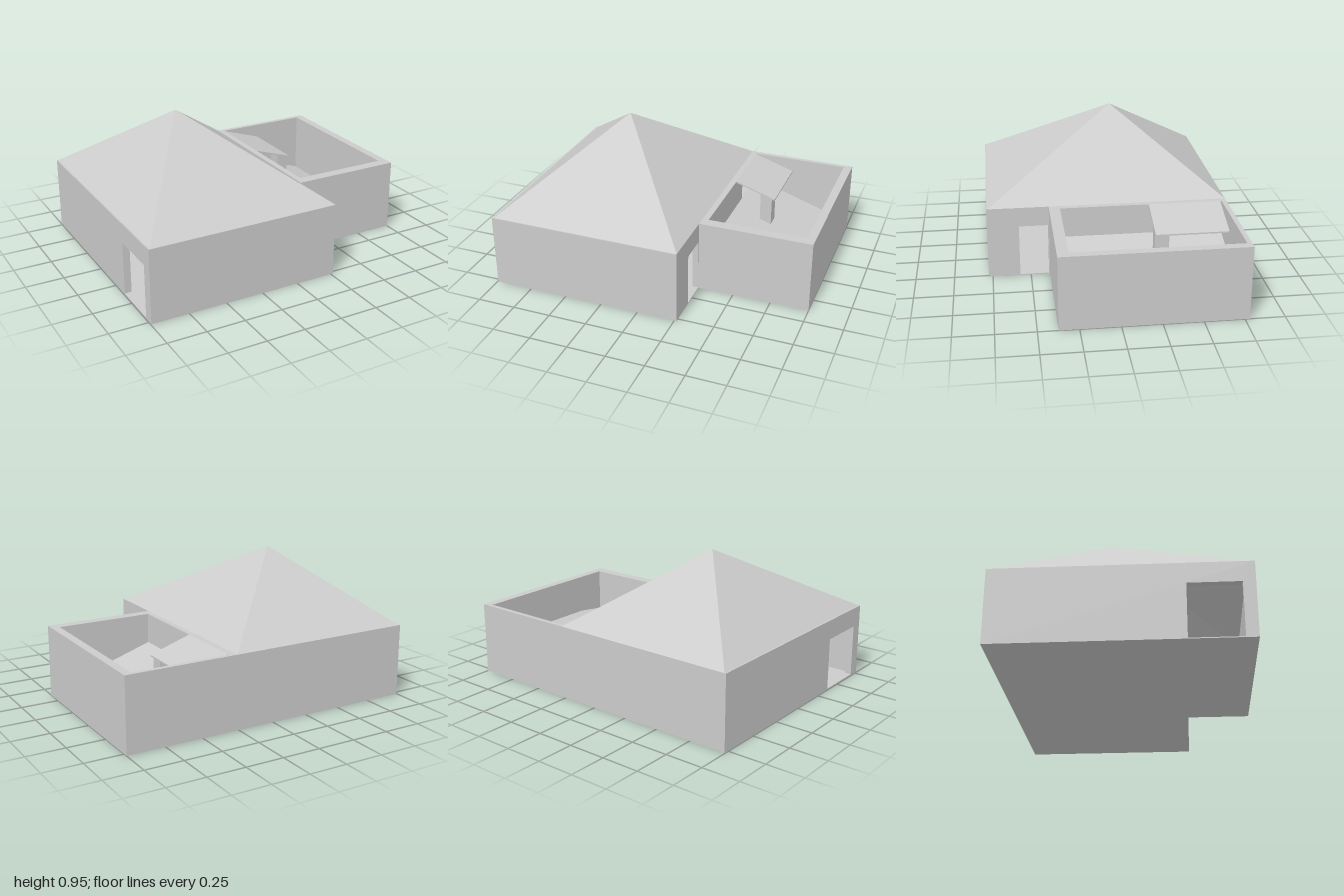
import * as THREE from 'three';

const H = 0.48; // wall height
const mat = new THREE.MeshStandardMaterial({ color: 0xcccccc, flatShading: true, side: THREE.DoubleSide });

export function createModel() {
  const model = new THREE.Group();

  function add(name, geometry) {
    const mesh = new THREE.Mesh(geometry, mat);
    mesh.name = name;
    model.add(mesh);
  }

  // Box given by its minimum and maximum corners
  function box(name, [x0, y0, z0], [x1, y1, z1]) {
    const g = new THREE.BoxGeometry(x1 - x0, y1 - y0, z1 - z0);
    g.translate((x0 + x1) / 2, (y0 + y1) / 2, (z0 + z1) / 2);
    add(name, g);
  }

  // Polygon in the x-y plane extruded from z0 to z1
  function prism(name, points, z0, z1) {
    const shape = new THREE.Shape(points.map(([x, y]) => new THREE.Vector2(x, y)));
    const g = new THREE.ExtrudeGeometry(shape, { depth: z1 - z0, bevelEnabled: false });
    add(name, g.translate(0, 0, z0));
  }

  // Wall along z, with an optional doorway to the ground and a raised opening
  function sideWall(name, x0, x1, z0, z1, door, opening) {
    const pts = [[z0, 0]];
    if (door) pts.push([door[0], 0], [door[0], 0.35], [door[1], 0.35], [door[1], 0]);
    pts.push([z1, 0], [z1, H], [z0, H]);
    const shape = new THREE.Shape(pts.map(([z, y]) => new THREE.Vector2(z, y)));
    if (opening) {
      const [a, b, c, d] = opening;
      shape.holes.push(new THREE.Path([[a, c], [a, d], [b, d], [b, c]].map(([z, y]) => new THREE.Vector2(z, y))));
    }
    const g = new THREE.ExtrudeGeometry(shape, { depth: x1 - x0, bevelEnabled: false });
    add(name, g.rotateY(-Math.PI / 2).translate(x1, 0, 0));
  }

  // Floors
  box('houseFloor', [-0.995, 0, -0.78], [0.265, 0.006, 0.775]);
  box('annexFloor', [0.265, 0, -0.78], [1, 0.006, 0.375]);

  // Main house walls, with a doorway on each side
  const porchOpening = [-0.72, -0.41, 0.28, 0.45];
  box('houseFrontWall', [-0.995, 0, 0.73], [0.265, H, 0.775]);
  box('houseBackWall', [-0.995, 0, -0.78], [0.265, H, -0.74]);
  sideWall('houseRightWall', -0.995, -0.95, -0.78, 0.775, [0.38, 0.7]);
  sideWall('houseLeftWall', 0.225, 0.265, -0.78, 0.775, [0.38, 0.57], porchOpening);

  // Annex walls standing as a parapet around its sunken roof
  box('annexFrontWall', [0.265, 0, 0.305], [1, H, 0.375]);
  box('annexBackWall', [0.265, 0, -0.78], [1, H, -0.75]);
  sideWall('annexOuterWall', 0.945, 1, -0.78, 0.375);
  sideWall('annexInnerWall', 0.265, 0.305, -0.78, 0.375, null, porchOpening);

  // Sloping annex roof
  prism('annexRoof', [[0.305, 0.26], [0.945, 0.05], [0.945, 0.07], [0.305, 0.28]], -0.75, 0.305);

  // Small sloping canopy on a post
  prism('canopy', [[0.305, 0.47], [0.58, 0.38], [0.58, 0.39], [0.305, 0.48]], -0.74, -0.27);
  prism('canopyPost', [[0.48, 0.2], [0.56, 0.18], [0.56, 0.388], [0.48, 0.414]], -0.36, -0.27);

  // Pyramid roof with an off-centre peak
  const peak = [-0.4, 0.95, -0.1];
  const eaves = [[-0.985, H, 0.768], [0.265, H, 0.768], [0.265, H, -0.78], [-0.985, H, -0.78]];
  const corners = eaves.flatMap((p, i) => [...p, ...eaves[(i + 1) % 4], ...peak]);
  const roof = new THREE.BufferGeometry();
  roof.setAttribute('position', new THREE.Float32BufferAttribute(corners, 3));
  roof.computeVertexNormals();
  add('houseRoof', roof);

  return model;
}
